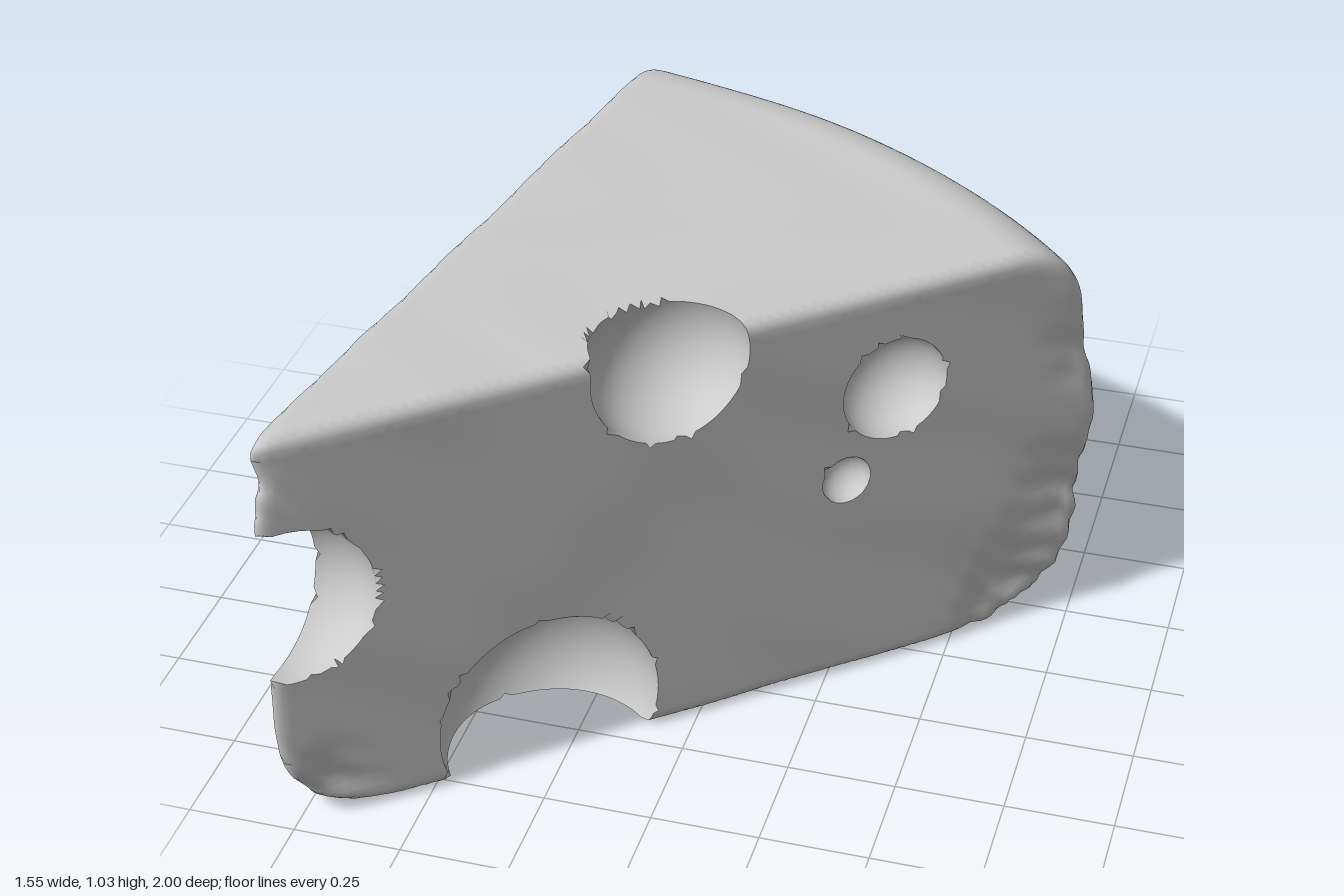
import * as THREE from 'three';

// Plan of the wedge: two straight cut faces meeting at the tip, and an arc of rind around it
const TIP = { x: -0.785, z: 1.03 };
const RIND_RADIUS = 2.06, BOTTOM = 0.005, TOP = 1.028, MIDDLE = 0.515;

// z or x of the two cut faces
const frontZ = x => 0.362 - 0.852 * x;
const leftX = z => -0.62 - 0.16 * z;

// Spherical holes: x, y, z, radius
const HOLES = [
  [-0.045, 0.968, frontZ(-0.045), 0.187], // top edge
  [0.372, 0.765, frontZ(0.372), 0.13],
  [0.283, 0.55, frontZ(0.283), 0.061],
  [-0.28, 0.12, frontZ(-0.28), 0.265],    // bottom edge
  [-0.725, 0.6, 0.968, 0.197],            // through the tip
  [leftX(-0.41), 0.71, -0.41, 0.09],
  [leftX(0.135), 0.4, 0.135, 0.065],
];

// Worn, crumbly spots: x, y, z, reach, depth
const CHIPS = [
  [-0.72, 0.04, 0.98, 0.17, 0.03],
  [-0.77, 0.92, 1.0, 0.1, 0.012],
  [0.66, 0.08, -0.2, 0.2, 0.028],
  [0.75, 0.36, -0.27, 0.17, 0.02],
  [0.77, 0.75, -0.29, 0.14, 0.012],
  [-0.7, 0.05, 0.6, 0.14, 0.015],
];

// Maximum with a rounded transition of width k
function smoothMax(a, b, k) {
  const t = Math.max(k - Math.abs(a - b), 0) / k;
  return Math.max(a, b) + t * t * k / 4;
}

// Signed distance to the wedge without holes (negative inside)
function wedge([x, y, z]) {
  const front = (z - frontZ(x)) / Math.hypot(0.852, 1);
  const left = (leftX(z) - x) / Math.hypot(0.16, 1);
  const flat = Math.max(y - TOP, BOTTOM - y);
  const rind = Math.hypot(x - TIP.x, z - TIP.z) - RIND_RADIUS + 0.4 * (y - MIDDLE) ** 2;
  let d = smoothMax(smoothMax(front, left, 0.045), smoothMax(flat, rind, 0.14), 0.035);
  // gentle hand-cut waviness
  d += 0.0022 * Math.sin(9 * x + 5 * y + 2 * Math.sin(6 * z)) * Math.sin(13 * y - 7 * z + 3 * x);
  // crumbled corners
  for (const [cx, cy, cz, reach, depth] of CHIPS) {
    const q = ((x - cx) ** 2 + (y - cy) ** 2 + (z - cz) ** 2) / (reach * reach);
    if (q > 4) continue;
    const grain = Math.sin(37 * x + 23 * y + 2 * Math.sin(29 * z)) * Math.sin(31 * z - 41 * y);
    d += depth * Math.exp(-2 * q) * (0.7 + 0.4 * grain);
  }
  return d;
}

// Positive inside any hole
function cavity([x, y, z]) {
  let d = -Infinity;
  for (const [cx, cy, cz, r] of HOLES) d = Math.max(d, r - Math.hypot(x - cx, y - cy, z - cz));
  return d;
}

const solid = p => Math.max(wedge(p), cavity(p));

function gradient(field, p, e = 0.002) {
  return [0, 1, 2].map(i => {
    const a = [...p], b = [...p];
    a[i] += e;
    b[i] -= e;
    return (field(a) - field(b)) / (2 * e);
  });
}

// One step towards the zero surface of a field
function project(field, p) {
  const g = gradient(field, p);
  const s = field(p) / Math.max(g[0] ** 2 + g[1] ** 2 + g[2] ** 2, 0.2);
  return p.map((v, i) => v - s * g[i]);
}

// Wrap a quad skin around the solid: one vertex per grid cell crossed by its surface
function skin() {
  const h = 0.02, min = [-0.85, -0.05, -1.07], n = [84, 57, 108];
  const stride = [1, n[0], n[0] * n[1]];
  const at = (i, j, k) => [min[0] + i * h, min[1] + j * h, min[2] + k * h];
  const value = new Float32Array(n[0] * n[1] * n[2]);
  const each = (from, visit) => {
    for (let k = from; k < n[2] - 1; k++)
      for (let j = from; j < n[1] - 1; j++)
        for (let i = from; i < n[0] - 1; i++) visit(i, j, k, i + j * stride[1] + k * stride[2]);
  };
  value.fill(1);
  each(0, (i, j, k, id) => { value[id] = solid(at(i, j, k)); });

  const points = [], cellVertex = new Map();
  each(0, (i, j, k, id) => {
    const sum = [0, 0, 0];
    let count = 0;
    for (let c = 0; c < 8; c++) {
      const corner = [c & 1, (c >> 1) & 1, c >> 2];
      const a = value[id + corner[0] + corner[1] * stride[1] + corner[2] * stride[2]];
      for (let axis = 0; axis < 3; axis++) {
        if (corner[axis]) continue;
        const end = [...corner];
        end[axis] = 1;
        const b = value[id + end[0] + end[1] * stride[1] + end[2] * stride[2]];
        if ((a < 0) === (b < 0)) continue;
        corner.forEach((v, m) => { sum[m] += v + (m === axis ? a / (a - b) : 0); });
        count++;
      }
    }
    if (!count) return;
    let p = at(i + sum[0] / count, j + sum[1] / count, k + sum[2] / count);
    // vertices beside a hole's rim go exactly onto it, the others onto the surface
    const rim = Math.abs(wedge(p)) < 0.55 * h && Math.abs(cavity(p)) < 0.55 * h;
    for (let s = 0; s < (rim ? 5 : 2); s++) p = rim ? project(cavity, project(wedge, p)) : project(solid, p);
    cellVertex.set(id, points.push(p) - 1);
  });

  const triangles = [];
  each(1, (i, j, k, id) => {
    for (let axis = 0; axis < 3; axis++) {
      const inside = value[id] < 0;
      if (inside === (value[id + stride[axis]] < 0)) continue;
      const u = stride[(axis + 1) % 3], v = stride[(axis + 2) % 3];
      const q = [id - u - v, id - v, id, id - u].map(c => cellVertex.get(c));
      if (!inside) q.reverse();
      triangles.push([q[0], q[1], q[2]], [q[0], q[2], q[3]]);
    }
  });
  return { points, triangles };
}

// Mesh of some skin triangles, shaded by the slope of a field
function part(name, points, triangles, field, material) {
  const position = [], normal = [], index = [], used = new Map();
  for (const id of triangles.flat()) {
    if (!used.has(id)) {
      used.set(id, used.size);
      position.push(...points[id]);
      normal.push(...new THREE.Vector3(...gradient(field, points[id])).normalize());
    }
    index.push(used.get(id));
  }
  const geometry = new THREE.BufferGeometry();
  geometry.setAttribute('position', new THREE.Float32BufferAttribute(position, 3));
  geometry.setAttribute('normal', new THREE.Float32BufferAttribute(normal, 3));
  geometry.setIndex(index);
  const mesh = new THREE.Mesh(geometry, material);
  mesh.name = name;
  return mesh;
}

export function createModel() {
  const group = new THREE.Group();
  group.name = 'cheeseWedge';
  const material = new THREE.MeshStandardMaterial({ color: 0xcccccc });
  const { points, triangles } = skin();

  // Sort the skin into the outside of the wedge and the hollows
  const outside = [], hollows = [];
  for (const t of triangles) {
    const middle = [0, 1, 2].map(i => (points[t[0]][i] + points[t[1]][i] + points[t[2]][i]) / 3);
    (cavity(middle) > wedge(middle) ? hollows : outside).push(t);
  }
  group.add(part('wedgeBody', points, outside, wedge, material));
  group.add(part('holes', points, hollows, cavity, material));
  return group;
}
